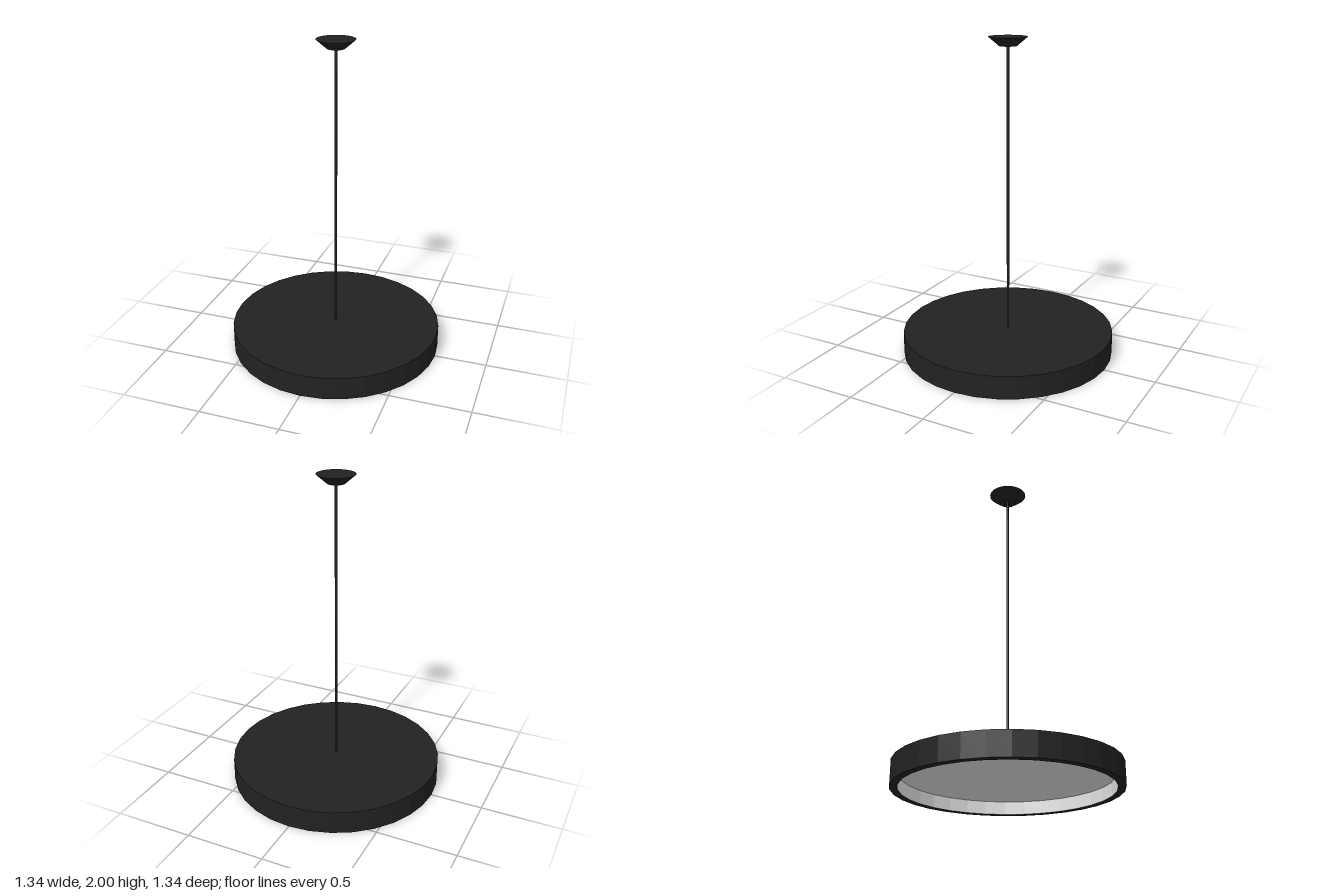
import * as THREE from 'three';

const SIDES = 32;

export function createModel() {
  const black = new THREE.MeshStandardMaterial({ color: 0x222222, flatShading: true });
  black.name = 'matte black';
  const white = new THREE.MeshStandardMaterial({ color: 0xe6e6e6, flatShading: true });
  white.name = 'reflector white';

  const lamp = new THREE.Group();
  lamp.name = 'pendantLamp';

  // Turns a profile of [radius, height] points into a named part
  const turn = (name, profile, material, sides = SIDES) => {
    const points = profile.map(([r, y]) => new THREE.Vector2(r, y));
    const mesh = new THREE.Mesh(new THREE.LatheGeometry(points, sides), material);
    mesh.name = name;
    lamp.add(mesh);
  };

  // Drum shade: bottom rim, outer wall and top
  turn('shade', [[0.625, 0], [0.672, 0], [0.672, 0.145], [0, 0.145]], black);

  // Recessed inside: ceiling and inner wall
  turn('reflector', [[0, 0.08], [0.625, 0.08], [0.625, 0]], white);

  // Hanging rod
  turn('rod', [[0.008, 0.145], [0.008, 1.95]], black, 16);

  // Conical ceiling mount
  turn('ceilingMount', [[0, 1.945], [0.053, 1.945], [0.118, 2], [0, 2]], black);

  return lamp;
}
